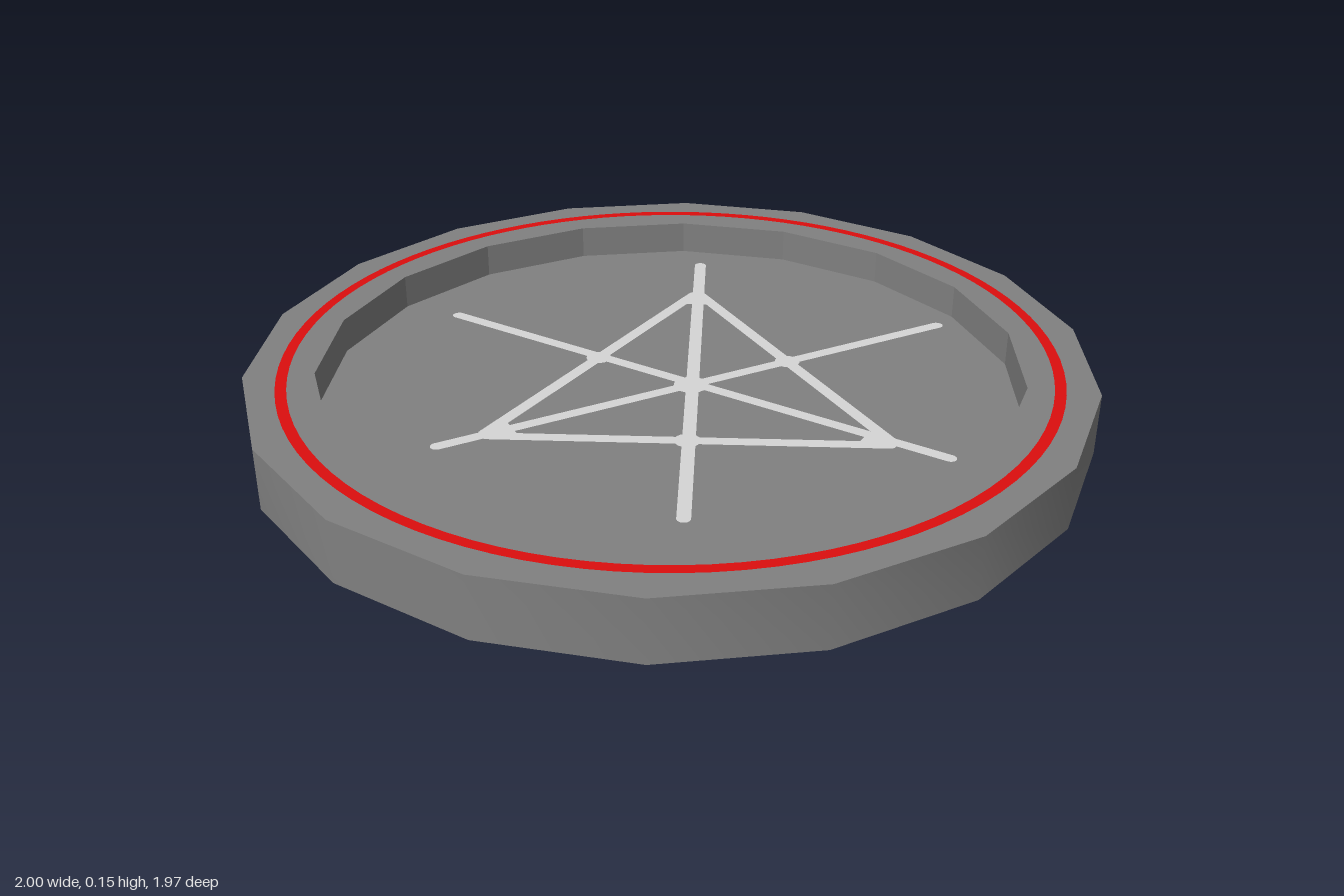
import * as THREE from 'three';
import { toCreasedNormals } from 'three/addons/utils/BufferGeometryUtils.js';

const SIDES = 18, TOP = 0.15, FLOOR = 0.065, LIFT = 0.003;

const stone = new THREE.MeshStandardMaterial({ color: 0x808080 });
stone.name = 'grey stone';
const red = new THREE.MeshStandardMaterial({ color: 0xdc0e0e });
red.name = 'red paint';
const pale = new THREE.MeshStandardMaterial({ color: 0xd6d6d6 });
pale.name = 'pale paint';

function add(parent, name, geometry, material) {
  const mesh = new THREE.Mesh(geometry, material);
  mesh.name = name;
  parent.add(mesh);
  return mesh;
}

// Faceted ring of the dish, with a corner on the x axis
function turned(profile, crease) {
  const points = profile.map(([r, y]) => new THREE.Vector2(r, y));
  const geometry = new THREE.LatheGeometry(points, SIDES).rotateY(Math.PI / 2);
  return toCreasedNormals(geometry, crease);
}

// Flat painted shape given in x, z, laid on a level surface
function laid(shape, y) {
  return new THREE.ShapeGeometry(shape, 24).rotateX(-Math.PI / 2).translate(0, y, 0);
}

// Stroke with rounded ends between two floor points
function stroke([x1, z1], [x2, z2], width) {
  const length = Math.hypot(x2 - x1, z2 - z1), r = width / 2;
  const shape = new THREE.Shape();
  shape.absarc(length - r, 0, r, -Math.PI / 2, Math.PI / 2);
  shape.absarc(r, 0, r, Math.PI / 2, Math.PI * 1.5);
  return laid(shape, 0)
    .rotateY(-Math.atan2(z2 - z1, x2 - x1))
    .translate(x1, FLOOR + LIFT, z1);
}

export function createModel() {
  const model = new THREE.Group();
  model.name = 'dish';

  // Dish: smooth outer wall, faceted recess
  add(model, 'outerWall', turned([[0, 0], [1, 0], [1, TOP], [0.835, TOP]], 0.6), stone);
  add(model, 'recess', turned([[0.835, TOP], [0.835, FLOOR], [0, FLOOR]], 0.1), stone);

  // Painted ring on the rim
  add(model, 'rimRing', new THREE.RingGeometry(0.896, 0.922, 96).rotateX(-Math.PI / 2)
    .translate(0, TOP + 0.002, 0), red);

  // Painted star on the floor: spokes and triangle
  const star = new THREE.Group();
  star.name = 'floorPattern';
  model.add(star);
  const hub = [0.04, 0.03];
  const corners = [[-0.5, 0.03], [0.31, 0.5], [0.31, -0.44]];
  const spokes = [
    [[-0.62, 0.03], [0.78, 0.03]],
    [[-0.325, -0.615], [0.39, 0.615]],
    [[0.415, -0.615], [-0.262, 0.562]],
  ];
  spokes.forEach(([a, b]) => add(star, 'spoke', stroke(a, b, 0.031), pale));

  const disc = ([x, z], r) =>
    new THREE.CircleGeometry(r, 16).rotateX(-Math.PI / 2).translate(x, FLOOR + LIFT, z);
  add(star, 'hub', disc(hub, 0.042), pale);

  corners.forEach((a, i) => {
    const b = corners[(i + 1) % 3], c = corners[(i + 2) % 3];
    add(star, 'triangleSide', stroke(a, b, 0.031), pale);
    add(star, 'crossing', disc([(a[0] + b[0]) / 2, (a[1] + b[1]) / 2], 0.031), pale);
    // Filled wedge where the sides and a spoke meet
    const toward = (p) => [a[0] + (p[0] - a[0]) * 0.095, a[1] + (p[1] - a[1]) * 0.095];
    const wedge = new THREE.Shape([a, toward(b), toward(c)].map(([x, z]) => new THREE.Vector2(x, -z)));
    add(star, 'cornerWedge', laid(wedge, FLOOR + LIFT), pale);
  });

  return model;
}
